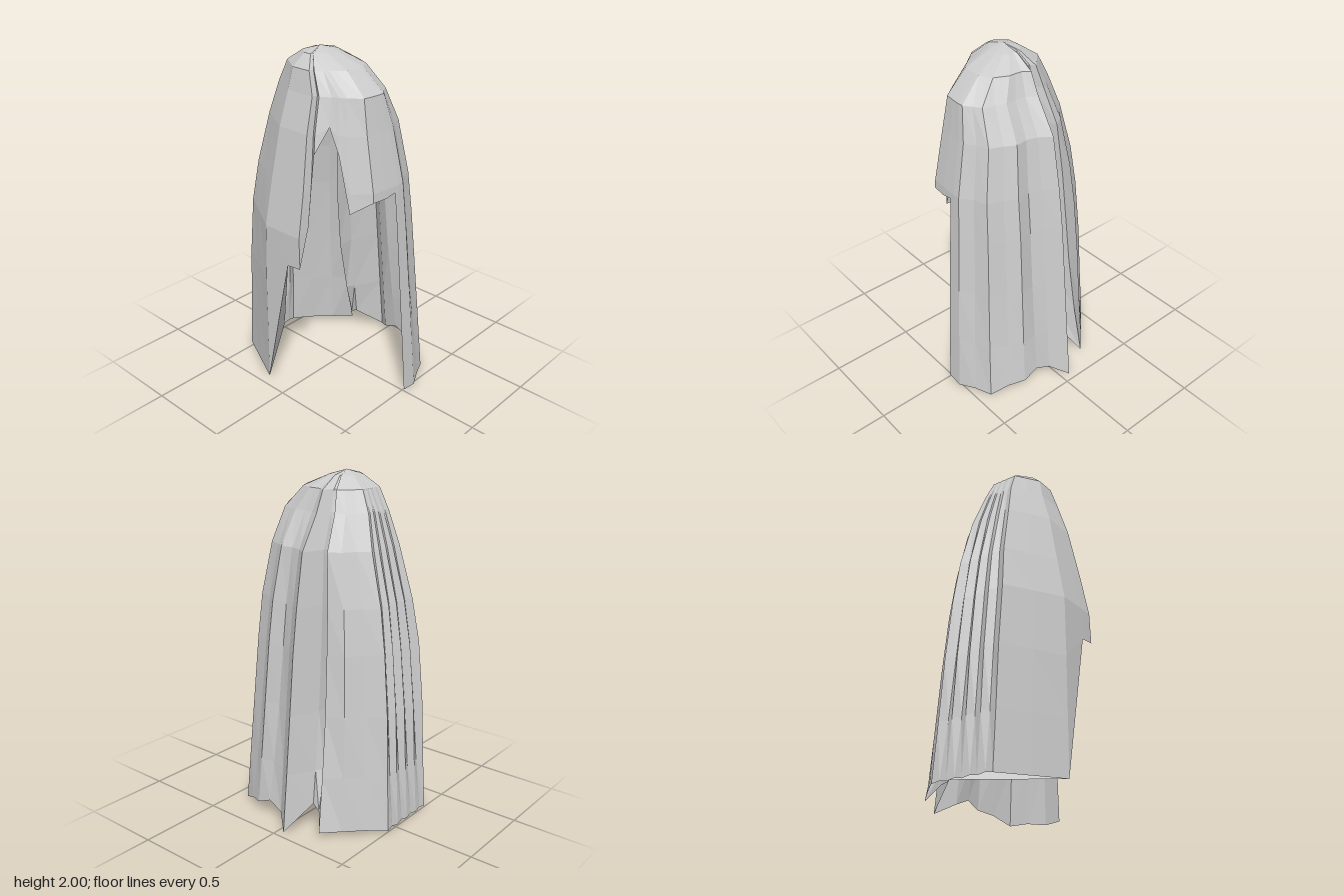
import * as THREE from 'three';

// Axis of the drape and its reach to each side: [height, right, left, back, front]
const CX = -0.12, CZ = -0.03;
const REACH = [
  [2, -0.12, -0.12, -0.03, -0.03],
  [1.975, -0.22, -0.01, -0.11, 0.05],
  [1.91, -0.285, 0.094, -0.2, 0.2],
  [1.79, -0.31, 0.15, -0.255, 0.325],
  [1.6, -0.365, 0.27, -0.315, 0.36],
  [1.3, -0.42, 0.325, -0.395, 0.42],
  [1.05, -0.465, 0.36, -0.435, 0.44],
  [0.7, -0.47, 0.395, -0.47, 0.465],
  [0.35, -0.47, 0.43, -0.49, 0.49],
  [0, -0.47, 0.467, -0.513, 0.513],
];

// Hem points in order round the cloth: [x, z, height, pinch of the fold above]
const HEM = [
  // front left, down to the ground
  [0, 0.513, 0.01], [0.094, 0.513, 0], [0.187, 0.465, 0.01, 0.03], [0.28, 0.42, 0],
  [0.33, 0.32, 0.05, 0.03], [0.375, 0.233, 0.07], [0.375, 0.14, 0.11, 0.06],
  [0.385, 0.047, 0.07], [0.467, -0.047, 0.01],
  // deep fold on the left, closing towards the ground
  [0.3, -0.13, 0.15, 0.1], [0.31, -0.18, 0.12, 0.42], [0.375, -0.233, 0.03, 0.12],
  [0.28, -0.327, 0.03], [0.187, -0.42, 0.03, 0.04],
  // pleated back
  [0.094, -0.513, 0.02], [0.047, -0.508, 0.03, 0.07], [0, -0.513, 0.02],
  [-0.047, -0.508, 0.03, 0.07], [-0.094, -0.513, 0.02], [-0.14, -0.508, 0.03, 0.06],
  [-0.187, -0.513, 0.02], [-0.234, -0.508, 0.03, 0.06], [-0.28, -0.513, 0.02],
  // right side, hem rising to the raised front
  [-0.375, -0.327, 0.03], [-0.47, -0.14, 0.04], [-0.47, 0.047, 0.86], [-0.47, 0.14, 0.87],
  [-0.4, 0.14, 1.1], [-0.36, 0.15, 1.5], [-0.285, 0.19, 1.64], [-0.28, 0.25, 1.5],
  [-0.28, 0.327, 1.19], [-0.187, 0.41, 1.25], [-0.094, 0.42, 1.25], [0, 0.425, 1.27],
];

// Distance from the axis to one side of the drape at height y
function reachAt(y, side, centre) {
  let i = 0;
  while (i < REACH.length - 2 && y < REACH[i + 1][0]) i++;
  const [a, b] = [REACH[i], REACH[i + 1]];
  return Math.abs(THREE.MathUtils.mapLinear(y, a[0], b[0], a[side], b[side]) - centre);
}

// One vertical line of cloth from crown to hem
function foldLine([x, z, hem, pinch = 0]) {
  const sideX = x < CX ? 1 : 2, sideZ = z < CZ ? 3 : 4;
  return REACH.map(([level]) => {
    const y = Math.max(level, hem);
    const fold = 1 - pinch * Math.sin((Math.PI * (y - hem)) / (2 - hem));
    const wx = (reachAt(y, sideX, CX) / reachAt(hem, sideX, CX)) * fold;
    const wz = (reachAt(y, sideZ, CZ) / reachAt(hem, sideZ, CZ)) * fold;
    return [CX + (x - CX) * wx, y, CZ + (z - CZ) * wz];
  });
}

function facetedMesh(name, positions) {
  const geometry = new THREE.BufferGeometry();
  geometry.setAttribute('position', new THREE.Float32BufferAttribute(positions, 3));
  geometry.computeVertexNormals();
  const mesh = new THREE.Mesh(geometry, new THREE.MeshStandardMaterial({
    color: 0xcccccc, flatShading: true, side: THREE.DoubleSide,
  }));
  mesh.name = name;
  return mesh;
}

// Adds a quad, leaving out collapsed triangles
function addQuad(out, a, b, c, d) {
  const v = (p) => new THREE.Vector3(...p);
  for (const tri of [[a, b, c], [a, c, d]]) {
    if (new THREE.Triangle(...tri.map(v)).getArea() > 1e-6) out.push(...tri.flat());
  }
}

export function createModel() {
  const group = new THREE.Group();
  group.name = 'drapedCloth';

  // Draped sheet: strips between neighbouring fold lines
  const lines = HEM.map(foldLine);
  const sheet = [];
  lines.forEach((line, i) => {
    const next = lines[(i + 1) % lines.length];
    for (let k = 0; k < line.length - 1; k++) {
      addQuad(sheet, line[k], line[k + 1], next[k + 1], next[k]);
    }
  });
  group.add(facetedMesh('cloak', sheet));

  // Flat flap folded inside the back right corner
  const flap = [];
  addQuad(flap, [-0.47, 0.86, 0.047], [-0.47, 0.04, -0.14], [0, 0.03, -0.5], [0, 0.4, -0.48]);
  group.add(facetedMesh('innerFlap', flap));

  return group;
}
